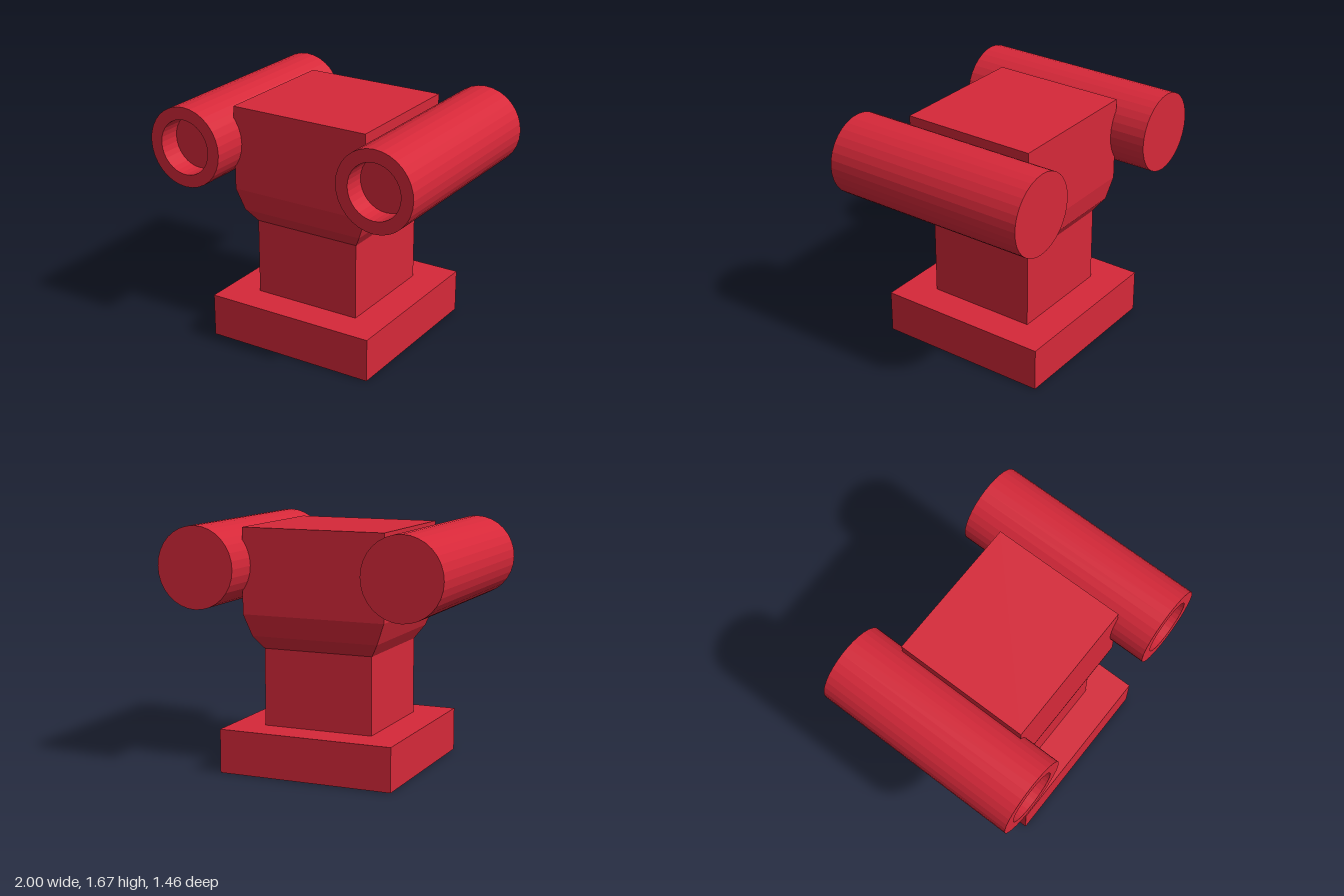
import * as THREE from 'three';

const material = new THREE.MeshStandardMaterial({ color: 0xd62839, flatShading: true });

function addMesh(parent, name, geometry, x = 0, y = 0, z = 0) {
  const mesh = new THREE.Mesh(geometry, material);
  mesh.name = name;
  mesh.position.set(x, y, z);
  parent.add(mesh);
  return mesh;
}

// Box whose horizontal rows follow a list of [y, halfWidth, halfDepth], bottom to top
function steppedBox(rows) {
  const steps = rows.length - 1;
  const geometry = new THREE.BoxGeometry(2, 1, 2, 1, steps, 1);
  const pos = geometry.attributes.position;
  for (let i = 0; i < pos.count; i++) {
    const [y, hx, hz] = rows[Math.round((pos.getY(i) + 0.5) * steps)];
    pos.setXYZ(i, pos.getX(i) * hx, y, pos.getZ(i) * hz);
  }
  geometry.computeVertexNormals();
  return geometry;
}

// Closed tube with a shallow bore in its front end, lying along z
function barrelGeometry(radius, bore, halfLength, depth) {
  const profile = [
    [0, -halfLength], [radius, -halfLength], [radius, halfLength],
    [bore, halfLength], [bore, halfLength - depth], [0, halfLength - depth],
  ].map(([r, y]) => new THREE.Vector2(r, y));
  return new THREE.LatheGeometry(profile, 32).rotateX(Math.PI / 2);
}

export function createModel() {
  const model = new THREE.Group();
  model.name = 'turret';

  // Square foot and column
  addMesh(model, 'base', new THREE.BoxGeometry(1.23, 0.3, 1.23), 0, 0.15, 0);
  addMesh(model, 'column', new THREE.BoxGeometry(0.776, 0.54, 0.776), 0, 0.565, 0);

  // Head block flaring out from the column
  addMesh(model, 'head', steppedBox([
    [0.83, 0.39, 0.388],
    [0.92, 0.45, 0.45],
    [1.066, 0.506, 0.474],
    [1.648, 0.506, 0.474],
  ]));

  // Twin barrels, bored at the front
  for (const [name, side] of [['leftBarrel', 1], ['rightBarrel', -1]]) {
    addMesh(model, name, barrelGeometry(0.277, 0.19, 0.73, 0.155), side * 0.723, 1.395, 0);
  }

  return model;
}
